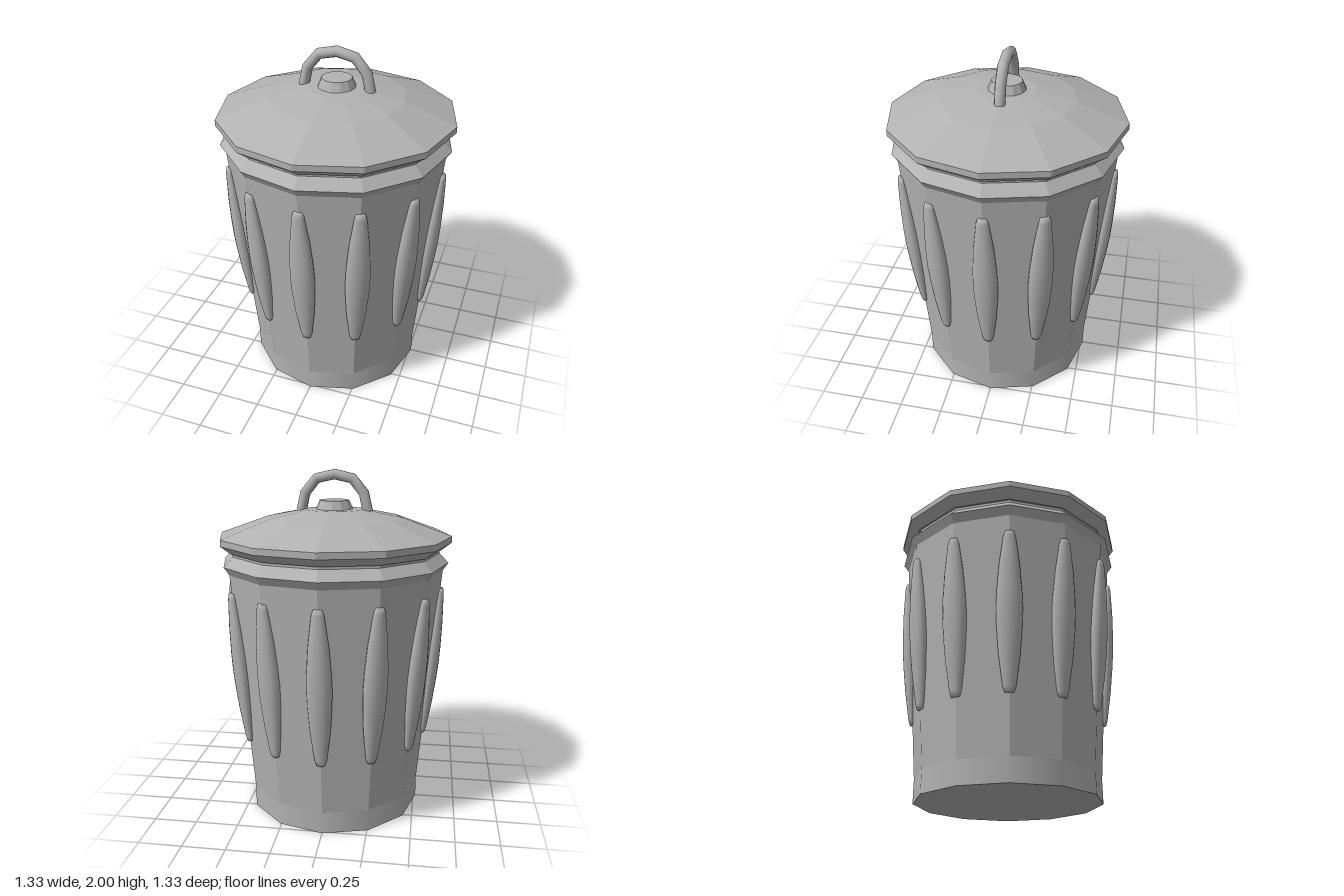
import * as THREE from 'three';

const SIDES = 12;
const metal = new THREE.MeshStandardMaterial({ color: 0xb2b2b2 });
metal.name = 'galvanised grey';

const turned = (profile, sides = SIDES) =>
  new THREE.LatheGeometry(profile.map(([r, y]) => new THREE.Vector2(r, y)), sides);

// Gives every facet its own normal
function faceted(geometry) {
  const flat = geometry.toNonIndexed();
  flat.computeVertexNormals();
  return flat;
}

function part(name, geometry) {
  const mesh = new THREE.Mesh(geometry, metal);
  mesh.name = name;
  return mesh;
}

export function createModel() {
  const can = new THREE.Group();
  can.name = 'trashCan';

  // Base band with smooth sides, and the floor of the can
  const baseR = 0.515, baseTop = 0.13, bodyR = 0.623, bodyTop = 1.44;
  can.add(part('baseBand', turned([[baseR, 0], [baseR, baseTop]])));
  can.add(part('floor', faceted(turned([[0, 0], [baseR, 0]]))));

  // Tapered faceted body, flared rim and neck
  can.add(part('body', faceted(turned([[baseR, baseTop], [bodyR, bodyTop]]))));
  can.add(part('rim', faceted(turned([
    [bodyR, bodyTop], [0.653, 1.485], [0.6, 1.54], [0.6, 1.56],
  ]))));

  // Lid: underside, edge and shallow dome
  can.add(part('lid', faceted(turned([
    [0.59, 1.555], [0.61, 1.555], [0.667, 1.6], [0.667, 1.635],
    [0.385, 1.735], [0.165, 1.778], [0, 1.78],
  ]))));
  can.add(part('knob', faceted(turned([
    [0.107, 1.775], [0.085, 1.828], [0, 1.828],
  ]))));

  // Arched handle
  const arch = new THREE.CatmullRomCurve3([
    [-0.19, 1.765], [-0.168, 1.865], [-0.105, 1.945], [0, 1.97],
    [0.105, 1.945], [0.168, 1.865], [0.19, 1.765],
  ].map(([x, y]) => new THREE.Vector3(x, y, 0)));
  can.add(part('handle', new THREE.TubeGeometry(arch, 6, 0.03, 10)));

  // Swollen ribs, one on each corner of the body, leaning with its taper
  const ribShape = turned([
    [0, -0.45], [0.024, -0.45], [0.034, -0.42], [0.056, -0.25], [0.067, -0.1],
    [0.07, 0], [0.067, 0.1], [0.056, 0.25], [0.034, 0.42], [0.024, 0.45], [0, 0.45],
  ], 16);
  ribShape.scale(1, 1, 0.66);
  const slope = (bodyR - baseR) / (bodyTop - baseTop);
  const ribY = 0.89;
  ribShape.rotateX(Math.atan(slope));
  ribShape.translate(0, ribY, baseR + slope * (ribY - baseTop));
  const ribs = new THREE.Group();
  ribs.name = 'ribs';
  for (let i = 0; i < SIDES; i++) {
    const rib = part('rib', ribShape);
    rib.rotation.y = (i / SIDES) * Math.PI * 2;
    ribs.add(rib);
  }
  can.add(ribs);

  // The floor faces down
  can.getObjectByName('floor').geometry = faceted(turned([[0, 0], [baseR, 0]]));
  return can;
}
